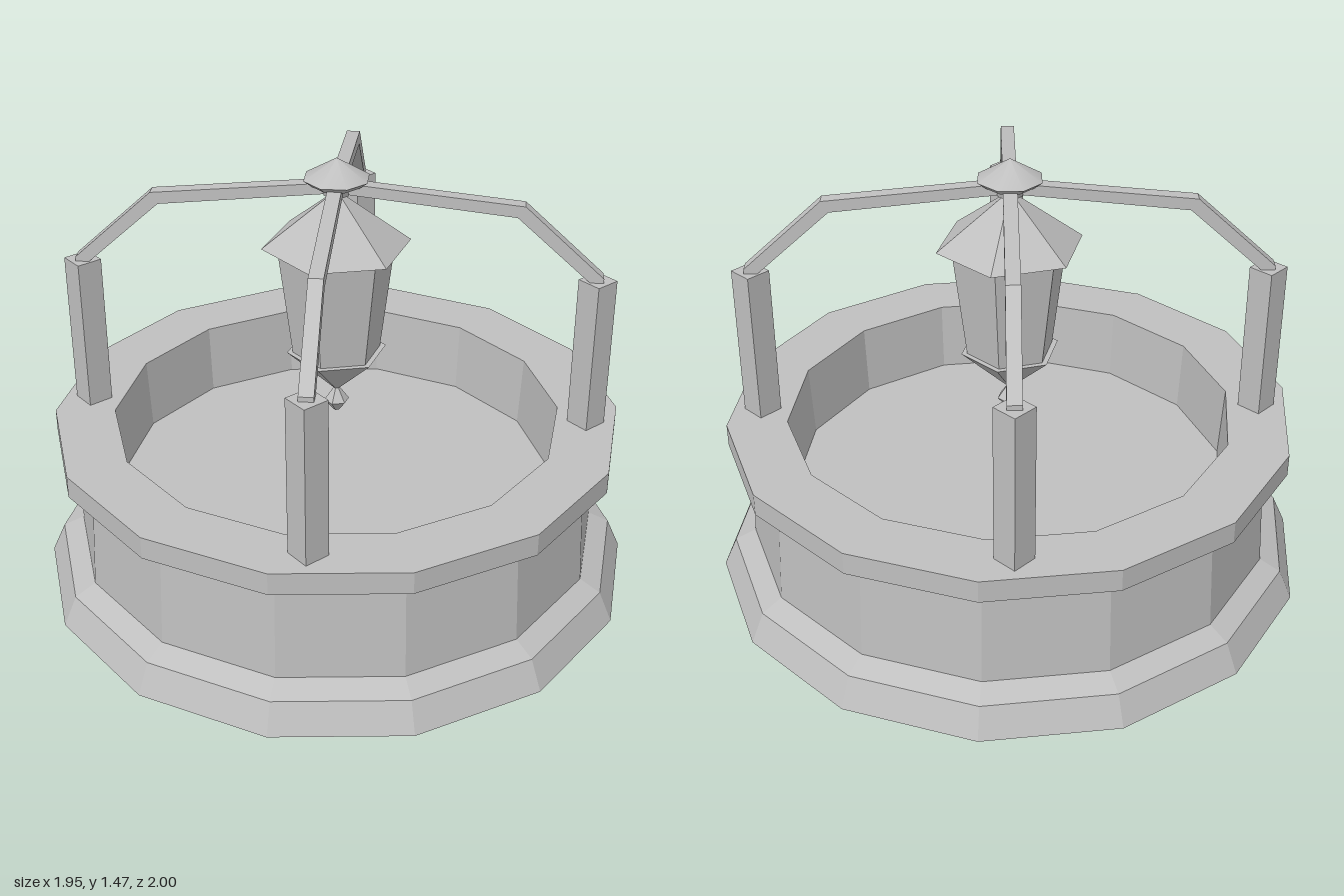
import * as THREE from 'three';

const stone = new THREE.MeshStandardMaterial({ color: 0xbfbfbf, side: THREE.DoubleSide });
stone.name = 'grey stone';

// Flat facets with real face normals
function faceted(geometry) {
  const g = geometry.index ? geometry.toNonIndexed() : geometry;
  g.computeVertexNormals();
  return g;
}

// Revolve [radius, height] pairs around the y axis
function turned(profile, sides, start = 0) {
  const points = profile.map(([r, y]) => new THREE.Vector2(r, y));
  return new THREE.LatheGeometry(points, sides, start);
}

function add(parent, name, geometry) {
  const mesh = new THREE.Mesh(geometry, stone);
  mesh.name = name;
  parent.add(mesh);
  return mesh;
}

export function createModel() {
  const well = new THREE.Group();
  well.name = 'lanternWell';

  // Basin: hollow shell, open underneath
  const basin = new THREE.Group();
  basin.name = 'basin';
  well.add(basin);
  add(basin, 'basinWall', faceted(turned([
    [1, 0], [0.955, 0.1], [0.885, 0.135], [0.867, 0.472],
    [0.945, 0.49], [0.945, 0.565], [0.745, 0.565], [0.73, 0.28],
  ], 14)));
  add(basin, 'basinFloor', faceted(turned([[0.733, 0.32], [0, 0.32]], 14)));

  // Four posts, each with a bent arm reaching the centre
  const armShape = new THREE.Shape([
    [0.848, 1.1], [0.59, 1.335], [0.04, 1.388],
    [0.04, 1.352], [0.567, 1.297], [0.815, 1.075], [0.848, 1.075],
  ].map(([x, y]) => new THREE.Vector2(x, y)));
  const armGeometry = new THREE.ExtrudeGeometry(armShape, { depth: 0.045, bevelEnabled: false });
  armGeometry.translate(0, 0, -0.0225);
  const postGeometry = new THREE.BoxGeometry(0.086, 0.535, 0.086);
  for (let i = 0; i < 4; i++) {
    const angle = Math.PI / 4 + i * Math.PI / 2;
    const post = add(well, 'post', postGeometry);
    post.position.set(Math.cos(angle) * 0.831, 0.8175, -Math.sin(angle) * 0.831);
    add(well, 'arm', armGeometry).rotation.y = angle;
  }

  // Hub where the arms meet, under a softly shaded cap
  const hub = new THREE.Group();
  hub.name = 'hub';
  well.add(hub);
  add(hub, 'hubCap', turned([[0.108, 1.4], [0, 1.466]], 8, Math.PI / 8));
  add(hub, 'hubBase', faceted(turned([
    [0, 1.345], [0.042, 1.345], [0.052, 1.378], [0.08, 1.378], [0.108, 1.4],
  ], 8, Math.PI / 8)));

  // Six-sided hanging lantern
  const lantern = new THREE.Group();
  lantern.name = 'lantern';
  well.add(lantern);
  add(lantern, 'lanternRoof', faceted(turned([[0, 1.173], [0.242, 1.173], [0, 1.358]], 6)));
  add(lantern, 'lanternBody', faceted(turned([[0.145, 0.79], [0.192, 1.175]], 6)));
  add(lantern, 'lanternBottom', faceted(turned([[0, 0.64], [0.165, 0.795], [0, 0.795]], 6)));
  add(lantern, 'finial', faceted(turned([[0, 0.567], [0.012, 0.567], [0.042, 0.605], [0.01, 0.65]], 6)));

  return well;
}
